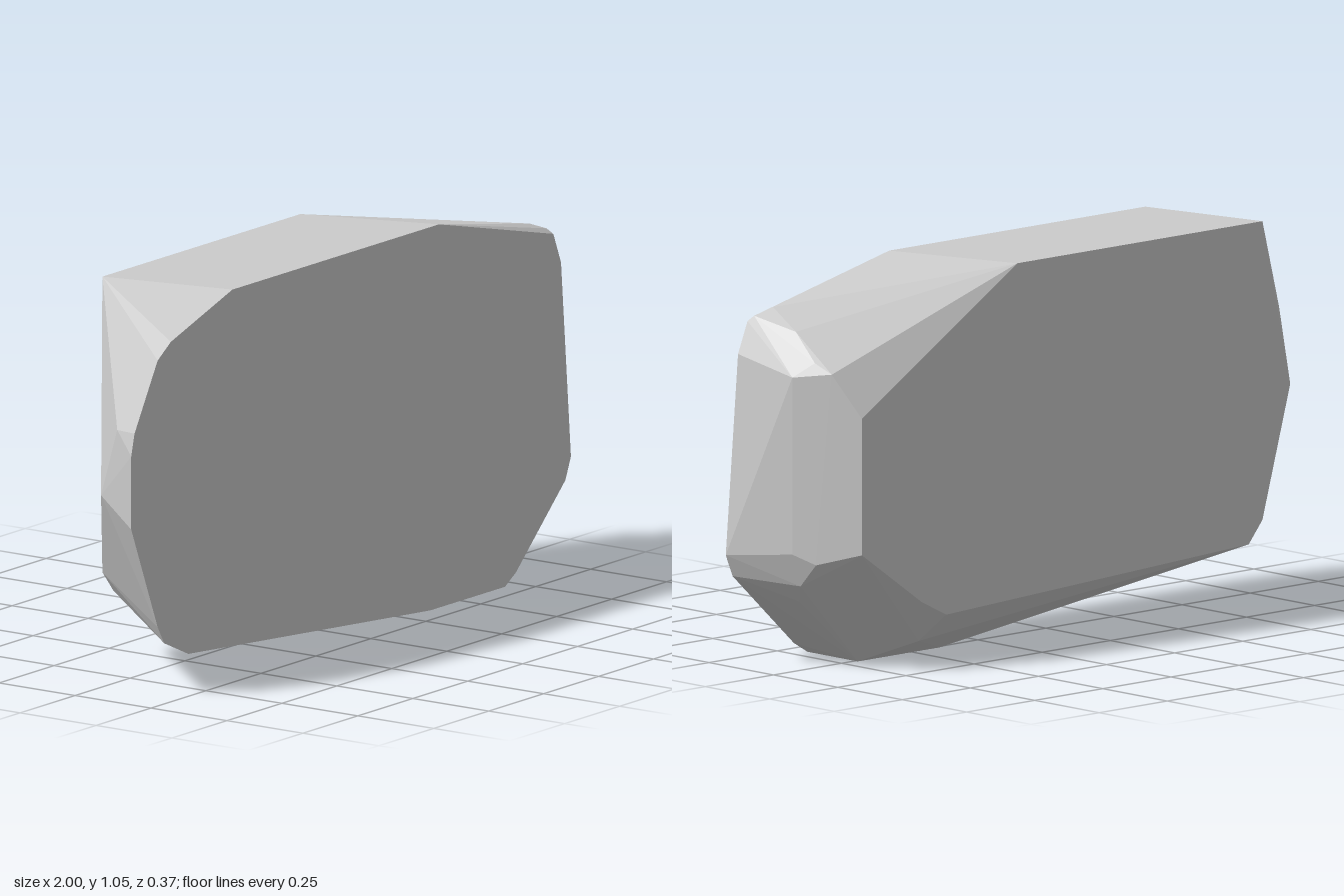
import * as THREE from 'three';
import { ConvexGeometry } from 'three/addons/geometries/ConvexGeometry.js';

const HALF_DEPTH = 0.185;

// Outline of the broad front face (x, y)
const front = [
  [-1, 0.48], [-1, 0.68], [-0.985, 0.74], [-0.88, 0.92], [-0.82, 0.96],
  [-0.54, 1.05], [0.4, 1.05], [0.92, 0.925], [0.955, 0.84], [1, 0.3],
  [0.975, 0.24], [0.75, 0.03], [0.7, 0], [0.36, 0], [-0.74, 0.09],
  [-0.85, 0.14], [-0.88, 0.19],
];

// Outline of the smaller back face (x, y)
const back = [
  [-0.62, 1.05], [0.28, 1.05], [0.85, 0.7], [0.85, 0.64], [0.85, 0.39],
  [0.85, 0.33], [0.63, 0.175], [0.54, 0.13], [-0.57, 0.18], [-0.62, 0.24],
];

// Corners of the chipped rim between the two faces (x, y, z)
const rim = [
  [0.86, 0.96, 0.15], [0.91, 0.94, 0.17], [0.88, 0.91, 0.04],
  [0.9, 0.84, -0.055], [0.89, 0.815, -0.11], [0.94, 0.8, -0.01],
  [0.94, 0.32, -0.01], [0.91, 0.295, -0.07], [0.91, 0.23, -0.01],
  [0.88, 0.18, 0.025], [0.7, 0, -0.01], [0.4, 0, -0.01], [0.58, 0.055, -0.12],
  [-0.93, 0.54, 0.035], [-0.96, 0.735, 0.11],
];

export function createModel() {
  const corners = [
    ...front.map(([x, y]) => new THREE.Vector3(x, y, HALF_DEPTH)),
    ...back.map(([x, y]) => new THREE.Vector3(x, y, -HALF_DEPTH)),
    ...rim.map((p) => new THREE.Vector3(...p)),
  ];

  // Faceted stone slab wrapped around all corners
  const slab = new THREE.Mesh(
    new ConvexGeometry(corners),
    new THREE.MeshStandardMaterial({ color: 0xcccccc, flatShading: true })
  );
  slab.name = 'stoneSlab';

  const group = new THREE.Group();
  group.name = 'stone';
  group.add(slab);
  return group;
}
